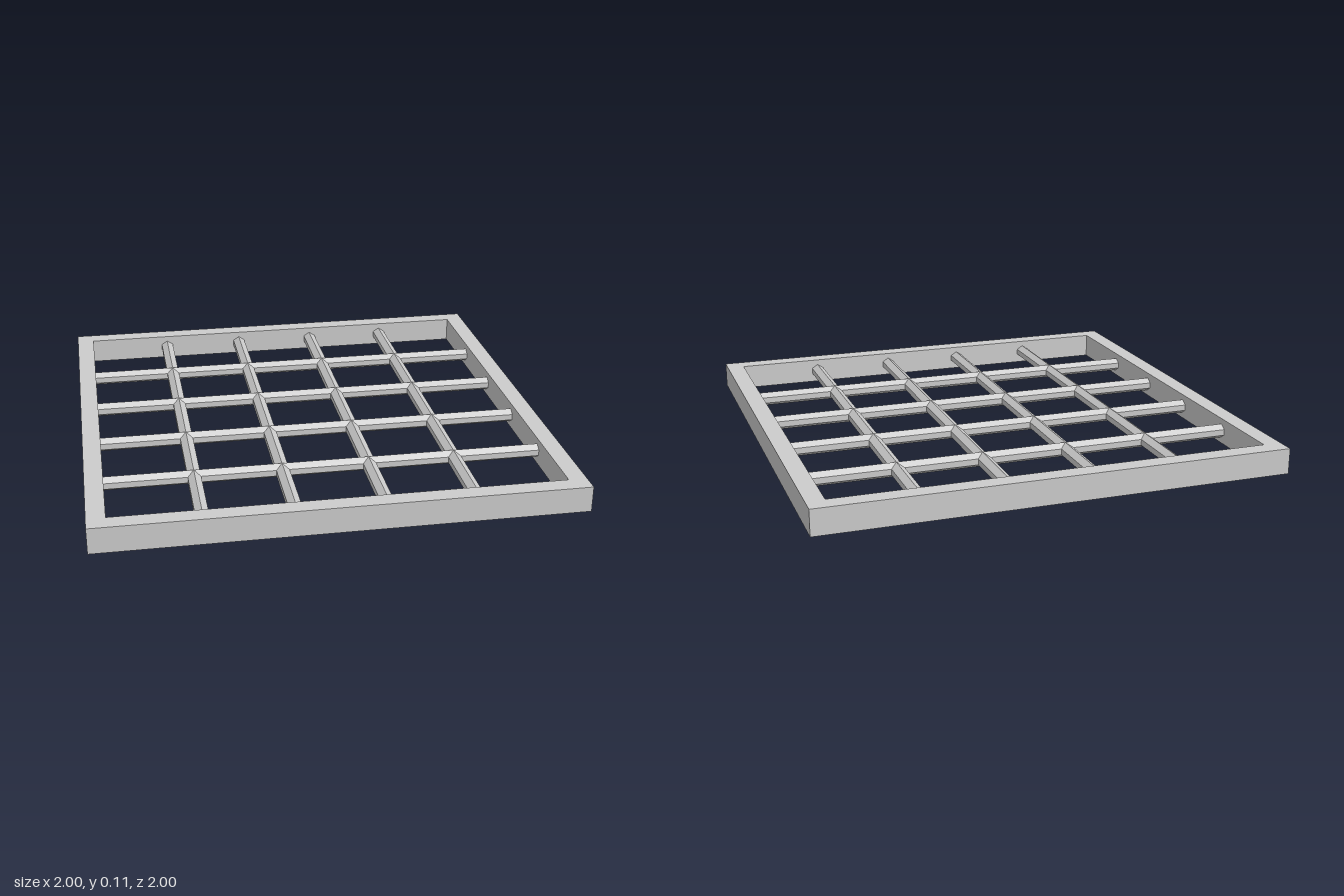
import * as THREE from 'three';

const HEIGHT = 0.11; // frame thickness
const INNER = 0.923; // half-width of the opening
const PITCH = 0.368; // spacing of the bars

const square = (Type, h) => new Type([
  new THREE.Vector2(-h, -h), new THREE.Vector2(h, -h),
  new THREE.Vector2(h, h), new THREE.Vector2(-h, h),
]);

export function createModel() {
  const group = new THREE.Group();
  group.name = 'latticeWindow';
  const material = new THREE.MeshStandardMaterial({ color: 0xcccccc, flatShading: true });

  // Square outer frame, lying flat
  const outline = square(THREE.Shape, 1);
  outline.holes.push(square(THREE.Path, INNER));
  const frameGeometry = new THREE.ExtrudeGeometry(outline, { depth: HEIGHT, bevelEnabled: false });
  frameGeometry.rotateX(-Math.PI / 2);
  const frame = new THREE.Mesh(frameGeometry, material);
  frame.name = 'frame';
  group.add(frame);

  // Six-sided bar with a ridge above and below, running along z
  const profile = new THREE.Shape([
    [0, 0.031], [-0.0275, 0.013], [-0.0275, -0.013],
    [0, -0.031], [0.0275, -0.013], [0.0275, 0.013],
  ].map(([x, y]) => new THREE.Vector2(x, y)));
  const barGeometry = new THREE.ExtrudeGeometry(profile, { depth: 2 * INNER, bevelEnabled: false });
  barGeometry.translate(0, 0, -INNER);

  // Four bars in each direction, crossing at the same height
  for (let i = 0; i < 4; i++) {
    const offset = (i - 1.5) * PITCH;

    const lengthBar = new THREE.Mesh(barGeometry, material);
    lengthBar.name = `lengthBar${i + 1}`;
    lengthBar.position.set(offset, HEIGHT / 2, 0);

    const crossBar = new THREE.Mesh(barGeometry, material);
    crossBar.name = `crossBar${i + 1}`;
    crossBar.rotation.y = Math.PI / 2;
    crossBar.position.set(0, HEIGHT / 2, offset - 0.014);

    group.add(lengthBar, crossBar);
  }
  return group;
}
